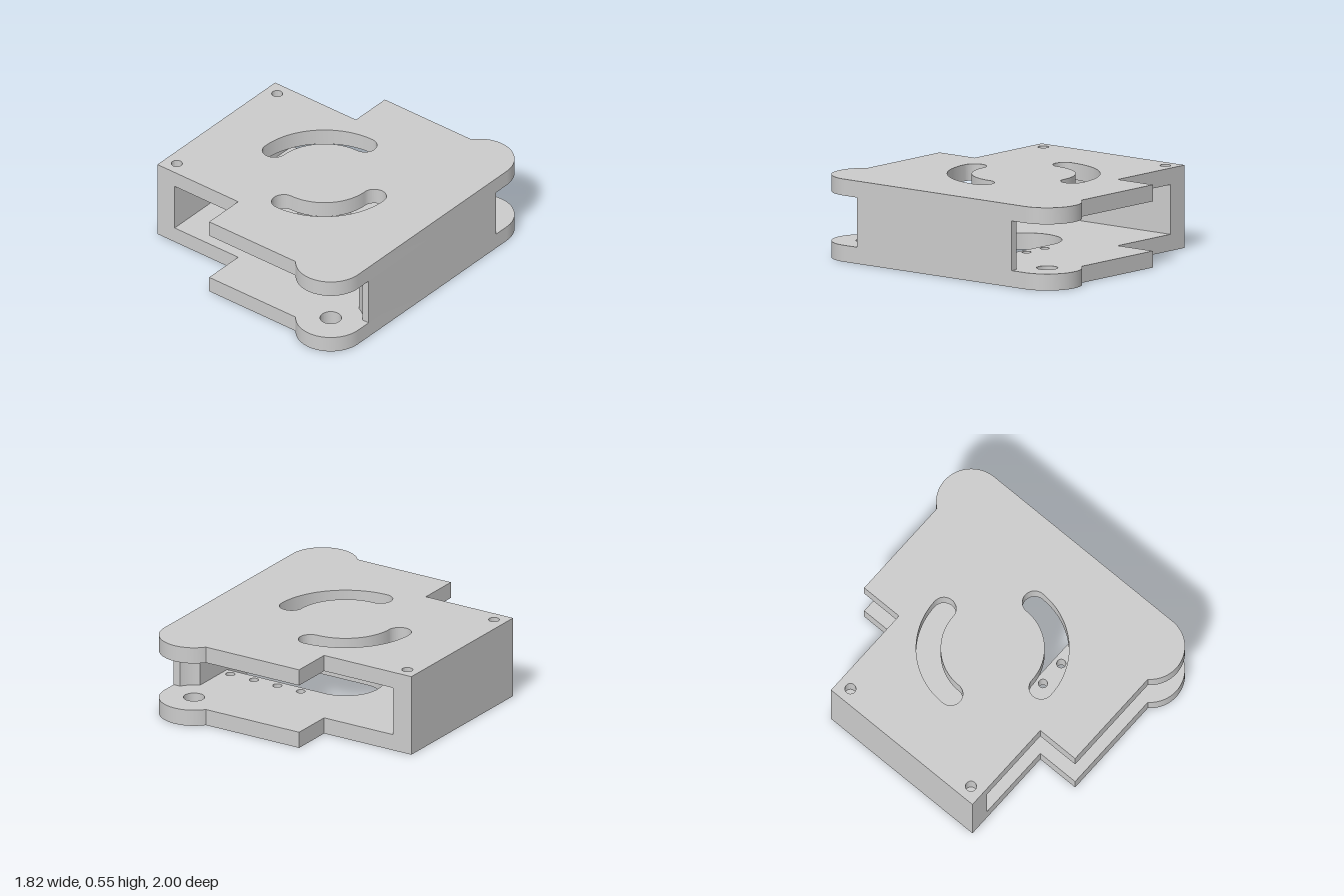
import * as THREE from 'three';
import { toCreasedNormals } from 'three/addons/utils/BufferGeometryUtils.js';

const material = new THREE.MeshStandardMaterial({ color: 0xcccccc });
const PLATE = 0.11, HEIGHT = 0.55;
const EAR = { x: 0.68, z: 0.77, r: 0.23 };

// Extrudes a plan shape (x, z) upward from y0 to y1
function slab(name, shape, y0, y1) {
  const geo = new THREE.ExtrudeGeometry(shape, { depth: y1 - y0, bevelEnabled: false, curveSegments: 32 });
  geo.rotateX(Math.PI / 2).translate(0, y1, 0);
  const mesh = new THREE.Mesh(toCreasedNormals(geo, 0.5), material);
  mesh.name = name;
  return mesh;
}

function roundHole(x, z, r) {
  return new THREE.Path().absarc(x, z, r, 0, Math.PI * 2, true);
}

// Quarter-ring slot with round ends, beginning at angle a
function arcSlot(a) {
  const mid = 0.42, half = 0.08, b = a + Math.PI / 2;
  const p = new THREE.Path();
  p.absarc(0, 0, mid + half, a, b, false);
  p.absarc(mid * Math.cos(b), mid * Math.sin(b), half, b, b + Math.PI, false);
  p.absarc(0, 0, mid - half, b, a, true);
  p.absarc(mid * Math.cos(a), mid * Math.sin(a), half, a + Math.PI, a + Math.PI * 2, false);
  return p;
}

// Stepped plate outline with two rounded hinge ears
function plateShape() {
  const s = new THREE.Shape();
  const end = Math.PI - Math.asin((0.91 - EAR.z) / EAR.r);
  s.moveTo(-0.91, -0.61);
  s.lineTo(-0.23, -0.61);
  s.lineTo(-0.23, -0.91);
  s.absarc(EAR.x, -EAR.z, EAR.r, -end, 0, false);
  s.absarc(EAR.x, EAR.z, EAR.r, 0, end, false);
  s.lineTo(-0.23, 0.91);
  s.lineTo(-0.23, 0.61);
  s.lineTo(-0.91, 0.61);
  s.closePath();
  return s;
}

export function createModel() {
  const group = new THREE.Group();
  group.name = 'slottedBracket';

  // Top plate: two curved slots and two blind screw holes
  const top = plateShape();
  top.holes.push(arcSlot(0), arcSlot(Math.PI));
  for (const side of [-1, 1]) top.holes.push(roundHole(-0.82, side * 0.52, 0.036));
  group.add(slab('topPlate', top, HEIGHT - PLATE, HEIGHT));

  // Bottom plate: round-ended cutout, rows of screw holes and hinge holes
  const bottom = plateShape();
  const cutout = new THREE.Path();
  cutout.moveTo(0.76, 0.25);
  cutout.lineTo(0.76, -0.25);
  cutout.absarc(0, 0, 0.25, -Math.PI / 2, Math.PI / 2, true);
  cutout.closePath();
  bottom.holes.push(cutout);
  for (const side of [-1, 1]) {
    for (const x of [0.15, 0.333, 0.516, 0.7]) bottom.holes.push(roundHole(x, side * 0.305, 0.03));
    bottom.holes.push(roundHole(0.82, side * 0.185, 0.03));
    bottom.holes.push(roundHole(EAR.x, side * EAR.z, 0.07));
  }
  group.add(slab('bottomPlate', bottom, 0, PLATE));

  // Plain wall on the narrow end
  const narrow = new THREE.Shape();
  narrow.moveTo(-0.91, -0.61);
  narrow.lineTo(-0.765, -0.61);
  narrow.lineTo(-0.765, 0.61);
  narrow.lineTo(-0.91, 0.61);
  narrow.closePath();
  group.add(slab('narrowEndWall', narrow, PLATE, HEIGHT - PLATE));

  // Wall on the hinge end, its inner corners hollowed around the hinge axes
  const r = 0.211;
  const a0 = Math.asin((EAR.z - 0.66) / r), a1 = Math.acos((0.76 - EAR.x) / r);
  const wide = new THREE.Shape();
  wide.moveTo(0.91, -0.66);
  wide.lineTo(0.91, 0.66);
  wide.absarc(EAR.x, EAR.z, r, -a0, -a1, true);
  wide.absarc(EAR.x, -EAR.z, r, a1, a0, true);
  wide.closePath();
  group.add(slab('hingeEndWall', wide, PLATE, HEIGHT - PLATE));

  return group;
}
